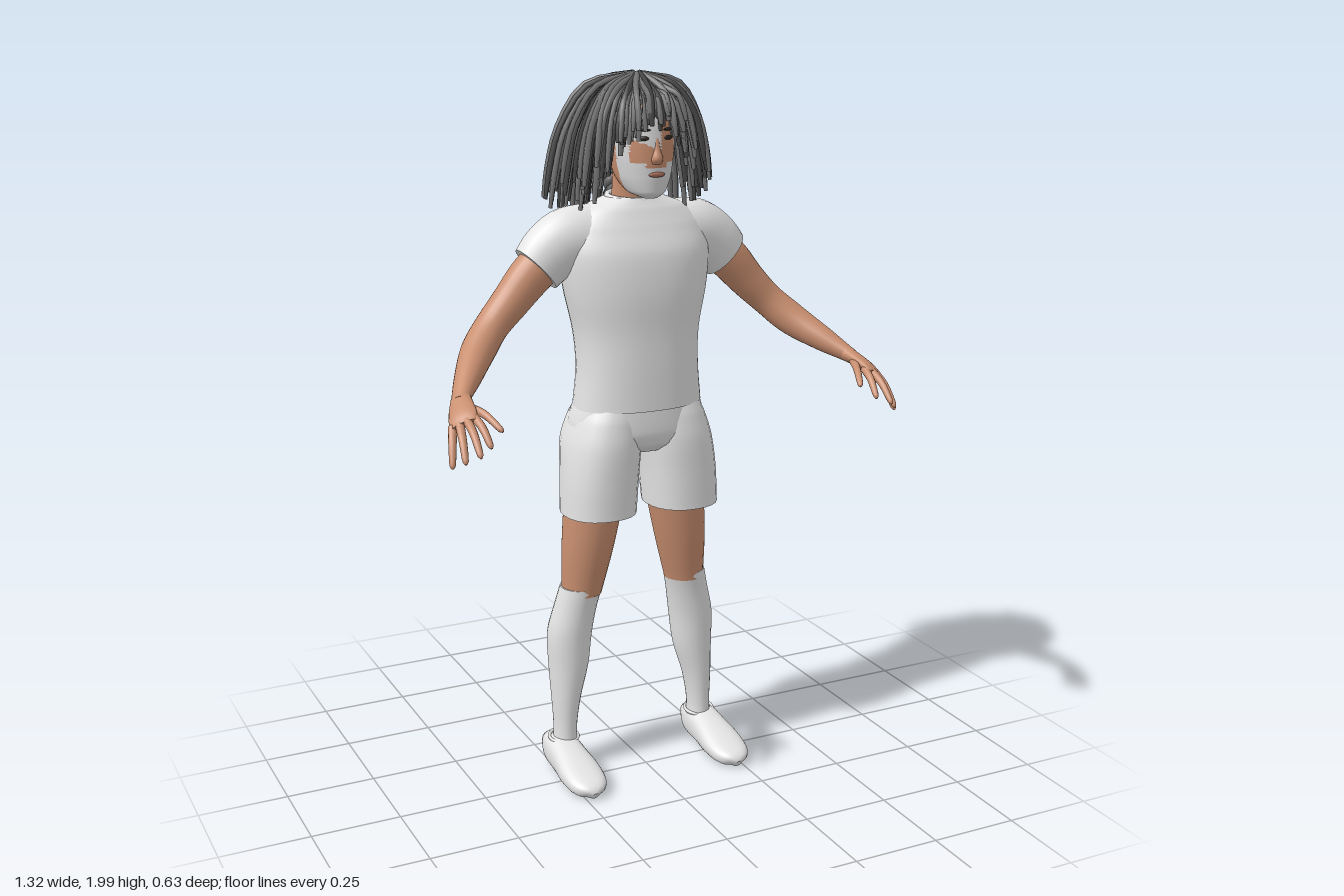
import * as THREE from 'three';
import { mergeGeometries } from 'three/addons/utils/BufferGeometryUtils.js';

const V = (x, y, z) => new THREE.Vector3(x, y, z);
const flat = (name, color) => {
  const m = new THREE.MeshStandardMaterial({ color });
  m.name = name;
  return m;
};

// Smooth skin over elliptical rings [x, y, z, radiusU, radiusV] along a curve
function loft(rings, { ref = V(0, 0, 1), level = false, sides = 24, steps = 24, exp = 2 } = {}) {
  const path = new THREE.CatmullRomCurve3(rings.map(r => V(r[0], r[1], r[2])));
  const size = new THREE.CatmullRomCurve3(rings.map((r, i) => V(r[3], r[4] ?? r[3], i * 0.05)));
  const pos = [], idx = [];
  const bend = c => Math.sign(c) * Math.abs(c) ** (2 / exp);
  const addRing = k => {
    const c = path.getPoint(k), s = size.getPoint(k);
    const t = level ? V(0, 1, 0) : path.getTangent(k);
    const u = t.clone().cross(ref).normalize(), v = t.clone().cross(u);
    for (let j = 0; j < sides; j++) {
      const a = j / sides * Math.PI * 2;
      const p = c.clone().addScaledVector(u, bend(Math.cos(a)) * s.x).addScaledVector(v, bend(Math.sin(a)) * s.y);
      pos.push(p.x, p.y, p.z);
    }
    return c;
  };
  for (let i = 0; i <= steps; i++) addRing(i / steps);
  for (let i = 0; i < steps; i++) for (let j = 0; j < sides; j++) {
    const a = i * sides + j, b = i * sides + (j + 1) % sides;
    idx.push(a, b, a + sides, b, b + sides, a + sides);
  }
  for (const k of [0, 1]) {
    const base = pos.length / 3, c = addRing(k);
    pos.push(c.x, c.y, c.z);
    for (let j = 0; j < sides; j++) {
      const a = base + j, b = base + (j + 1) % sides;
      idx.push(base + sides, k ? a : b, k ? b : a);
    }
  }
  const g = new THREE.BufferGeometry();
  g.setAttribute('position', new THREE.Float32BufferAttribute(pos, 3));
  g.setIndex(idx);
  g.computeVertexNormals();
  return g;
}

export function createModel() {
  const model = new THREE.Group();
  const skin = flat('skin', 0xc98f70), cloth = flat('white cloth', 0xe4e4e4);
  const paint = flat('face paint', 0xdcdcdc), hair = flat('grey hair', 0x747474);
  const darkHair = flat('dark hair', 0x484848), dark = flat('dark features', 0x2c2522);
  const lip = flat('lips', 0xa56a58);
  const add = (name, geo, mat, parent = model) => {
    const m = new THREE.Mesh(geo, mat);
    m.name = name;
    parent.add(m);
    return m;
  };
  const blob = (name, mat, p, s) => {
    const m = add(name, new THREE.SphereGeometry(1, 20, 12), mat);
    m.position.set(...p);
    m.scale.set(...s);
    return m;
  };

  // Shirt body and collar
  add('shirt', loft([
    [0, 1.09, -0.058, 0.185, 0.123], [0, 1.2, -0.056, 0.175, 0.12], [0, 1.3, -0.063, 0.18, 0.125],
    [0, 1.42, -0.068, 0.205, 0.132], [0, 1.52, -0.073, 0.215, 0.125], [0, 1.59, -0.083, 0.2, 0.105],
    [0, 1.635, -0.082, 0.15, 0.082], [0, 1.662, -0.08, 0.082, 0.064],
  ], { level: true, sides: 40, steps: 42, exp: 2.3 }), cloth);
  const collar = add('collar', new THREE.TorusGeometry(0.072, 0.009, 8, 32), cloth);
  collar.rotation.x = Math.PI / 2 + 0.12;
  collar.scale.y = 0.85;
  collar.position.set(0, 1.661, -0.08);

  // Shorts seat
  add('shortsSeat', loft([
    [0, 0.965, -0.065, 0.09, 0.09], [0, 0.99, -0.067, 0.17, 0.118], [0, 1.03, -0.067, 0.2, 0.128],
    [0, 1.12, -0.058, 0.176, 0.116],
  ], { level: true, sides: 36, exp: 2.3 }), cloth);

  for (const s of [-1, 1]) {
    const side = new THREE.Group();
    side.name = s > 0 ? 'leftLimbs' : 'rightLimbs';
    model.add(side);
    const part = (name, mat, rings, opts) =>
      add(name, loft(rings.map(([x, ...r]) => [x * s, ...r]), opts), mat, side);

    // Leg, from shorts down to shoe
    const up = { level: true };
    part('shortsLeg', cloth, [
      [0.127, 0.79, -0.045, 0.104, 0.11], [0.12, 0.9, -0.05, 0.106, 0.117],
      [0.109, 0.99, -0.065, 0.106, 0.132], [0.098, 1.06, -0.065, 0.094, 0.122], [0.09, 1.1, -0.06, 0.08, 0.105],
    ], { level: true, exp: 2.25 });
    part('thigh', skin, [
      [0.163, 0.54, -0.085, 0.057, 0.059], [0.145, 0.68, -0.078, 0.075, 0.073], [0.123, 0.84, -0.075, 0.088, 0.082],
    ], up);
    part('sock', cloth, [
      [0.218, 0.07, -0.09, 0.037, 0.042], [0.217, 0.13, -0.09, 0.033, 0.04], [0.212, 0.22, -0.093, 0.042, 0.046],
      [0.2, 0.32, -0.1, 0.058, 0.057], [0.194, 0.42, -0.102, 0.065, 0.063], [0.178, 0.5, -0.094, 0.062, 0.061],
      [0.163, 0.562, -0.085, 0.061, 0.062],
    ], up);
    const shoe = [
      [-0.155, 0.018, 0.03], [-0.143, 0.04, 0.045], [-0.09, 0.05, 0.051], [-0.03, 0.053, 0.046],
      [0.04, 0.06, 0.036], [0.1, 0.055, 0.027], [0.132, 0.038, 0.021], [0.146, 0.01, 0.012],
    ];
    part('shoe', cloth, shoe.map(([z, rx, ry]) => [0.228, ry + 0.006, z, rx, ry]), { ref: V(0, 1, 0), exp: 2.5 });
    const rim = add('shoeRim', new THREE.TorusGeometry(0.042, 0.005, 6, 24), cloth, side);
    rim.rotation.x = Math.PI / 2 + 0.12;
    rim.position.set(0.221 * s, 0.1, -0.092);

    // Sleeve and arm
    part('sleeve', cloth, [
      [0.1, 1.55, -0.085, 0.095, 0.085], [0.185, 1.552, -0.087, 0.09, 0.08],
      [0.24, 1.522, -0.087, 0.085, 0.073], [0.285, 1.48, -0.085, 0.075, 0.064],
    ]);
    part('arm', skin, [
      [0.22, 1.535, -0.086, 0.06, 0.055], [0.3, 1.465, -0.085, 0.059, 0.054], [0.36, 1.4, -0.082, 0.052, 0.05],
      [0.42, 1.34, -0.07, 0.046, 0.047], [0.475, 1.287, -0.03, 0.046, 0.046], [0.535, 1.237, 0.05, 0.035, 0.036],
      [0.575, 1.205, 0.11, 0.023, 0.027], [0.585, 1.196, 0.13, 0.02, 0.026],
    ], { steps: 36 });

    // Hand with four fingers and a thumb
    part('palm', skin, [
      [0.578, 1.202, 0.115, 0.021, 0.027], [0.59, 1.19, 0.15, 0.018, 0.034],
      [0.601, 1.175, 0.19, 0.015, 0.039], [0.607, 1.163, 0.216, 0.009, 0.034],
    ], { ref: V(0.05 * s, -0.026, -0.02), sides: 18, steps: 12 });
    const fingers = [
      [[0.578, 1.178, 0.205], [0.564, 1.115, 0.292]], [[0.597, 1.171, 0.21], [0.6, 1.1, 0.313]],
      [[0.615, 1.162, 0.203], [0.63, 1.08, 0.285]], [[0.629, 1.153, 0.19], [0.653, 1.062, 0.25]],
      [[0.575, 1.19, 0.15], [0.525, 1.148, 0.27]],
    ];
    fingers.forEach(([a, b], i) => {
      const mix = (k, lift, r) => [...a.map((c, n) => c + (b[n] - c) * k + (n === 1 ? lift : 0)), r];
      part(i < 4 ? 'finger' : 'thumb', skin,
        [mix(0, 0, 0.012), mix(0.5, 0.012, 0.0105), mix(0.93, 0.002, 0.008), mix(1, 0, 0.003)],
        { ref: V(s, 0, 0), sides: 10, steps: 10 });
    });
  }

  // Neck and head, with painted areas as a second material group
  add('neck', loft([[0, 1.6, -0.085, 0.07, 0.06], [0, 1.67, -0.075, 0.062, 0.055], [0, 1.76, -0.06, 0.064, 0.06]],
    { level: true }), skin);
  const head = loft([
    [0, 1.668, 0.025, 0.02, 0.02], [0, 1.683, 0.002, 0.05, 0.057], [0, 1.72, -0.02, 0.072, 0.085],
    [0, 1.77, -0.03, 0.083, 0.1], [0, 1.83, -0.04, 0.09, 0.11], [0, 1.89, -0.045, 0.09, 0.108],
    [0, 1.94, -0.05, 0.07, 0.085], [0, 1.968, -0.055, 0.025, 0.03],
  ], { level: true, sides: 72, steps: 56 });
  const isPainted = (x, y, z) => {
    if (z < -0.01 || y > 1.9) return false;
    const jaw = y < 1.765 && !(Math.abs(x) < 0.03 && y > 1.75);
    const sideburn = Math.abs(x) > 0.064 && y < 1.87;
    const brow = x < 0.012 && y > 1.8 - x * 0.4;
    return jaw || sideburn || brow;
  };
  const p = head.attributes.position, src = head.index.array, plain = [], painted = [];
  for (let i = 0; i < src.length; i += 3) {
    const t = [src[i], src[i + 1], src[i + 2]];
    const mid = f => t.reduce((sum, n) => sum + p[f](n), 0) / 3;
    (isPainted(mid('getX'), mid('getY'), mid('getZ')) ? painted : plain).push(...t);
  }
  head.setIndex([...plain, ...painted]);
  head.addGroup(0, plain.length, 0);
  head.addGroup(plain.length, painted.length, 1);
  add('head', head, [skin, paint]);

  // Facial features
  add('nose', loft([
    [0, 1.76, 0.062, 0.014, 0.01], [0, 1.774, 0.066, 0.017, 0.017], [0, 1.8, 0.063, 0.01, 0.013],
    [0, 1.84, 0.06, 0.007, 0.008],
  ], { level: true, sides: 14, steps: 12 }), skin);
  blob('mouth', lip, [0, 1.733, 0.067], [0.024, 0.007, 0.006]);
  for (const s of [-1, 1]) {
    blob('eye', dark, [0.036 * s, 1.828, 0.061], [0.015, 0.006, 0.005]).rotation.y = 0.4 * s;
    blob('eyebrow', dark, [0.037 * s, 1.85, 0.061], [0.02, 0.004, 0.005]).rotation.y = 0.4 * s;
  }

  // Scalp, tilted back to leave the forehead free
  const scalp = add('scalp', new THREE.SphereGeometry(1, 32, 16, 0, Math.PI * 2, 0, Math.PI / 2), darkHair);
  scalp.material.side = THREE.DoubleSide;
  scalp.scale.set(0.1, 0.115, 0.12);
  scalp.position.set(0, 1.865, -0.055);
  scalp.rotation.x = -0.45;

  // Dreadlocks fanning out from the crown: short fringe, long sides and back
  let seed = 7;
  const rnd = () => (seed = (seed * 16807) % 2147483647) / 2147483647;
  const locks = [[], []];
  const count = 170;
  for (let i = 0; i < count; i++) {
    const a = i * 2.39996 + (rnd() - 0.5) * 0.2, layer = i / count;
    const back = (1 - Math.cos(a)) / 2;
    const reach = Math.max(0.128, (0.13 + 0.13 * Math.min(1, back * 1.7)) * (1 - 0.42 * layer)) + (rnd() - 0.5) * 0.02;
    const tipY = 1.875 - 0.2 * Math.min(1, back * 2.1) - 0.07 * back * layer + (rnd() - 0.5) * 0.06;
    const at = (r, y, w, k = 0) => [Math.sin(a + k) * r, y, -0.05 + Math.cos(a + k) * r, w];
    const twist = (rnd() - 0.5) * 0.25, w = 0.0065 + rnd() * 0.0025;
    const rootY = 1.988 - 0.03 * layer;
    locks[i % 3 ? 0 : 1].push(loft([
      at(0.015 + 0.04 * layer, rootY, w), at(reach * 0.55, rootY - 0.028, w * 1.1, twist * 0.3),
      at(reach * 0.84, tipY + (rootY - tipY) * 0.58, w, twist * 0.7),
      at(reach * 0.95, tipY + (rootY - tipY) * 0.25, w * 1.1, twist), at(reach, tipY, w * 0.7, twist),
    ], { ref: V(Math.cos(a), 0.02, -Math.sin(a)), sides: 6, steps: 12 }));
  }
  add('dreadlocks', mergeGeometries(locks[0]), hair);
  add('darkDreadlocks', mergeGeometries(locks[1]), darkHair);

  // Three-strand braid down the back, with a loose tail
  for (let n = 0; n < 3; n++) {
    const strand = Array.from({ length: 37 }, (_, i) => {
      const k = i / 36, f = k * Math.PI * 7 + n * Math.PI * 2 / 3, w = 1 - 0.45 * k;
      return [Math.sin(f) * 0.018 * w, 1.72 - 0.315 * k, -0.205 - 0.012 * Math.sin(k * 3) + Math.sin(2 * f) * 0.009 * w, 0.0125 * w];
    });
    add('braidStrand', loft(strand, { sides: 8, steps: 72 }), n ? hair : darkHair);
  }
  add('braidTail', loft([[0, 1.415, -0.206, 0.009], [0, 1.385, -0.207, 0.015], [0, 1.345, -0.207, 0.003]],
    { sides: 10, steps: 10 }), darkHair);
  return model;
}
